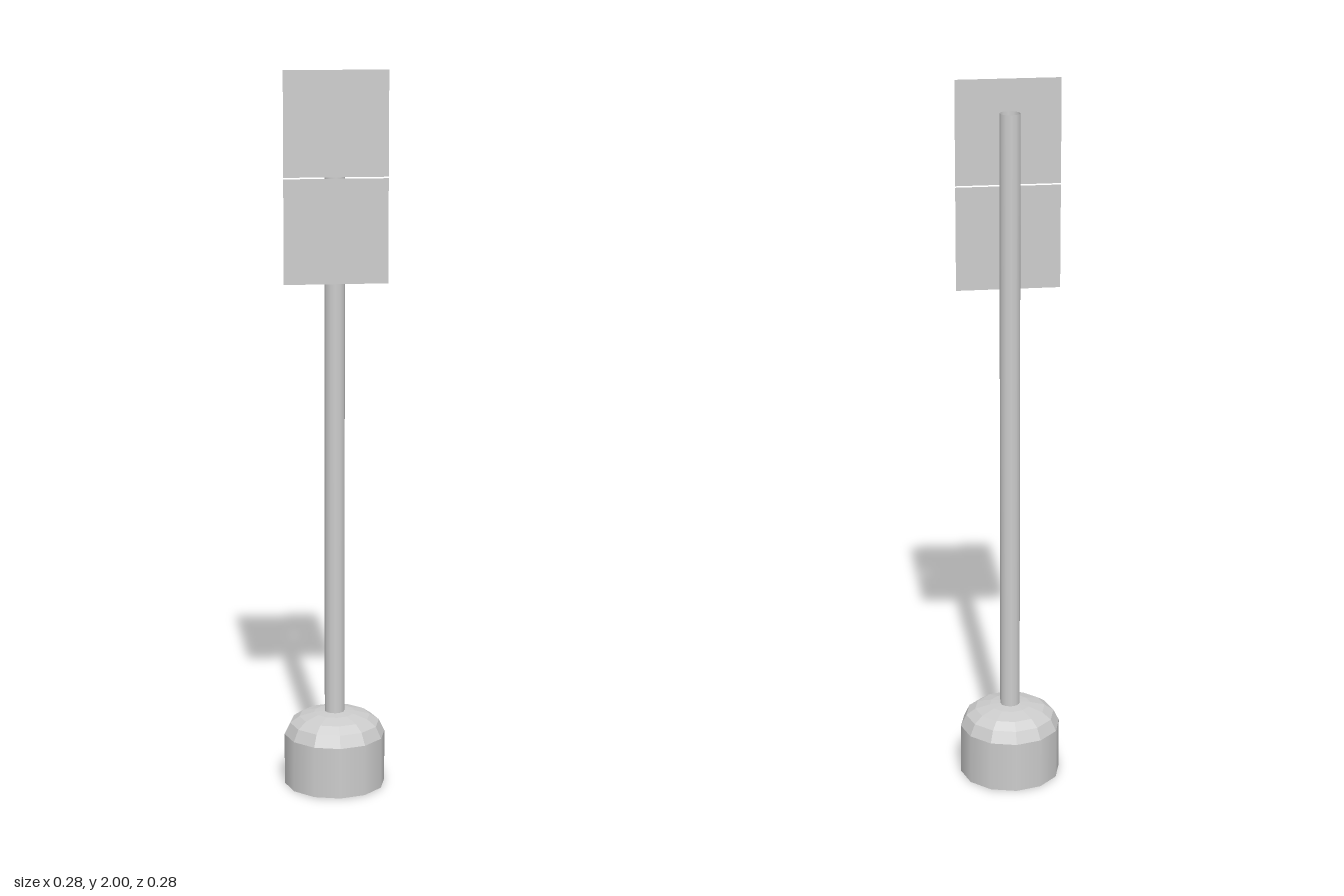
import * as THREE from 'three';

const SIDES = 12;

function addPart(group, name, geometry, flatShading = false) {
  const material = new THREE.MeshStandardMaterial({ color: 0xcccccc, side: THREE.DoubleSide, flatShading });
  const mesh = new THREE.Mesh(geometry, material);
  mesh.name = name;
  group.add(mesh);
  return mesh;
}

const lathe = (profile) =>
  new THREE.LatheGeometry(profile.map(([r, y]) => new THREE.Vector2(r, y)), SIDES);

export function createModel() {
  const group = new THREE.Group();
  group.name = 'signPost';

  // Hollow base: upright skirt, open below, with a faceted dome around the pole
  addPart(group, 'baseSkirt', lathe([[0.142, 0], [0.142, 0.145]]));
  addPart(group, 'baseDome', lathe([
    [0.142, 0.145], [0.126, 0.178], [0.1, 0.196], [0.058, 0.207], [0.028, 0.21],
  ]), true);

  // Open tube standing on the dome
  addPart(group, 'pole', lathe([[0.028, 0.205], [0.028, 1.915]]));

  // Two thin square plates in front of the pole, with a narrow gap between
  for (const [name, y] of [['lowerSign', 1.57], ['upperSign', 1.858]]) {
    addPart(group, name, new THREE.PlaneGeometry(0.284, 0.284)).position.set(0, y, 0.035);
  }

  return group;
}
